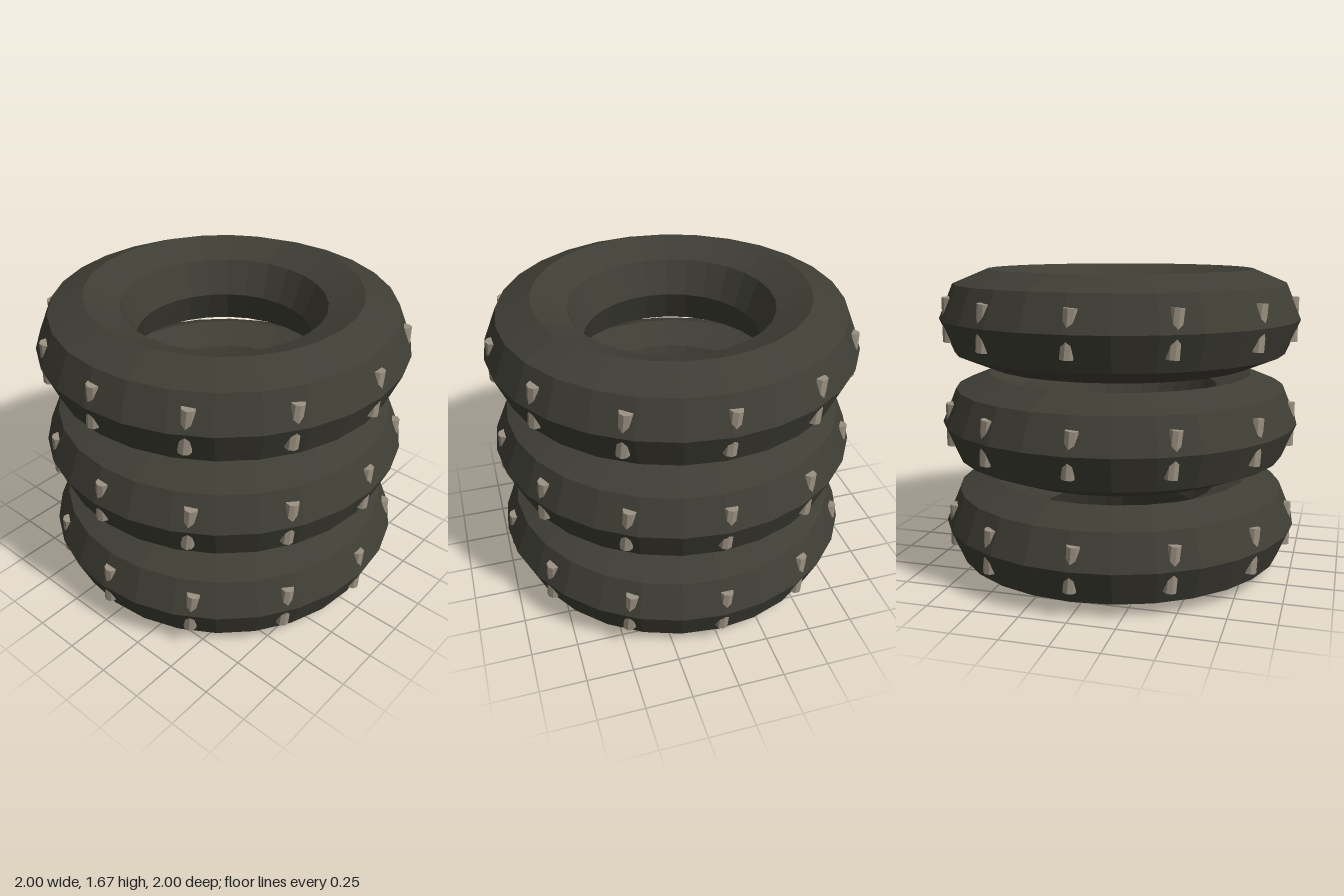
import * as THREE from 'three';

const TUBE = 0.2625;      // tyre cross-section radius
const RING = 1 - TUBE;    // radius of the tyre's centre line
const SPACING = 0.572;    // height between tyres
const STUDS = 12;

export function createModel() {
  const rubber = new THREE.MeshStandardMaterial({ color: 0x3f3e35, flatShading: true });
  rubber.name = 'dark rubber';
  const stone = new THREE.MeshStandardMaterial({ color: 0x9a9080, flatShading: true });
  stone.name = 'pale stud';

  // octagonal ring lying flat
  const tyreGeometry = new THREE.TorusGeometry(RING, TUBE, 8, 28).rotateX(-Math.PI / 2);

  // slightly leaning peg, half sunk into the tread
  const studGeometry = new THREE.CylinderGeometry(0.035, 0.035, 0.24, 8)
    .rotateZ(-0.1)
    .translate(0.013, 0, 0.95);

  const model = new THREE.Group();
  model.name = 'tyreStack';

  for (let i = 0; i < 3; i++) {
    const tyre = new THREE.Group();
    tyre.name = `tyre${i + 1}`;
    tyre.position.y = TUBE + i * SPACING;

    const ring = new THREE.Mesh(tyreGeometry, rubber);
    ring.name = 'tyreRing';
    tyre.add(ring);

    // studs around the tread
    for (let k = 0; k < STUDS; k++) {
      const stud = new THREE.Mesh(studGeometry, stone);
      stud.name = `treadStud${k + 1}`;
      stud.rotation.y = (k / STUDS) * Math.PI * 2;
      tyre.add(stud);
    }
    model.add(tyre);
  }
  return model;
}
